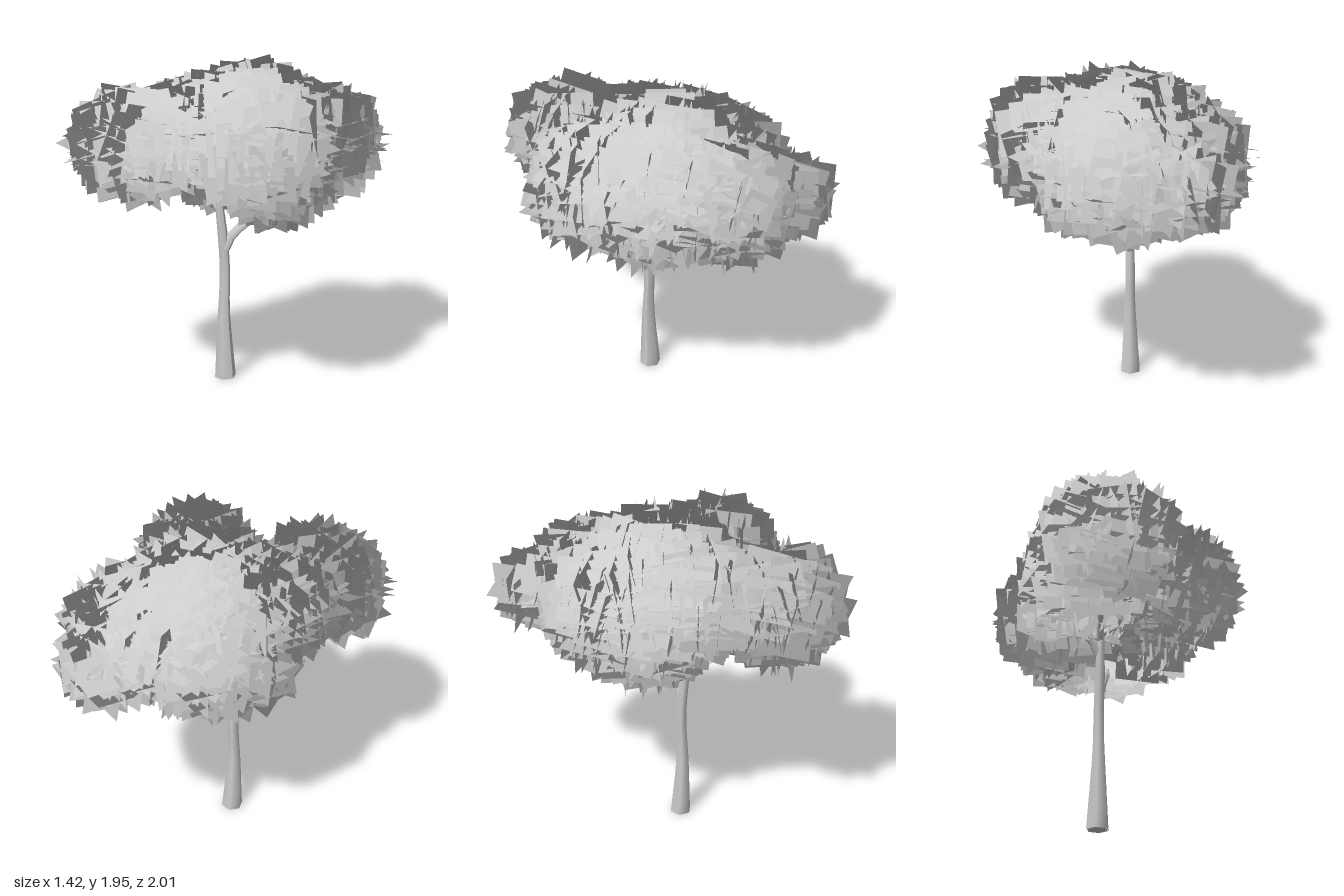
import * as THREE from 'three';
import { mergeGeometries } from 'three/addons/utils/BufferGeometryUtils.js';

const V = (x, y, z) => new THREE.Vector3(x, y, z);
const bark = new THREE.MeshStandardMaterial({ color: 0xcccccc });
const leaf = new THREE.MeshStandardMaterial({ color: 0xcccccc, side: THREE.DoubleSide });

// Small seeded generator for the leaf card jitter
let seed = 7;
function rand() {
  seed = (seed * 16807) % 2147483647;
  return seed / 2147483647;
}
const spread = (a) => (rand() * 2 - 1) * a;

// Tube along a curve whose radius follows a list of evenly spaced values
function limb(name, points, radii, segments = 8, sides = 6) {
  const curve = new THREE.CatmullRomCurve3(points);
  const geo = new THREE.TubeGeometry(curve, segments, 1, sides);
  const pos = geo.attributes.position;
  const p = V(0, 0, 0);
  for (let i = 0; i <= segments; i++) {
    const t = i / segments;
    const centre = curve.getPointAt(t);
    const f = t * (radii.length - 1);
    const k = Math.min(Math.floor(f), radii.length - 2);
    const r = THREE.MathUtils.lerp(radii[k], radii[k + 1], f - k);
    for (let j = 0; j <= sides; j++) {
      const n = i * (sides + 1) + j;
      p.fromBufferAttribute(pos, n).sub(centre).multiplyScalar(r).add(centre);
      pos.setXYZ(n, p.x, p.y, p.z);
    }
  }
  geo.computeVertexNormals();
  const mesh = new THREE.Mesh(geo, bark);
  mesh.name = name;
  return mesh;
}

// Crown clumps: name, centre, radii
const clumps = [
  ['frontClump', V(-0.28, 1.48, 0.63), V(0.37, 0.29, 0.32)],
  ['frontRightClump', V(-0.28, 1.49, 0.22), V(0.33, 0.3, 0.31)],
  ['leftClump', V(0.33, 1.49, 0.25), V(0.32, 0.34, 0.35)],
  ['topClump', V(-0.06, 1.52, -0.06), V(0.48, 0.35, 0.45)],
  ['backRightClump', V(-0.24, 1.42, -0.32), V(0.36, 0.32, 0.32)],
  ['backClump', V(0.12, 1.42, -0.42), V(0.38, 0.32, 0.37)],
  ['backTipClump', V(-0.02, 1.41, -0.72), V(0.25, 0.2, 0.24)],
  ['lowerRightClump', V(-0.31, 1.29, -0.08), V(0.31, 0.27, 0.33)],
  ['lowerLeftClump', V(0.2, 1.29, -0.02), V(0.3, 0.28, 0.34)],
];
const crownCentre = V(-0.03, 1.2, -0.05);
const inset = 0.1; // sprig centres sit this far inside a clump's outline

// Sprig of three crossed square cards, roughly square to the axes,
// with soft normals that fan out from the middle of the crown
function leafSprig(at, outward) {
  const size = 0.22 + 0.06 * rand();
  const jitter = new THREE.Euler(spread(0.3), spread(0.3), spread(0.3));
  const soft = at.clone().sub(crownCentre).normalize().addScaledVector(outward, 0.4).normalize();
  return ['x', 'y', 'z'].map((axis) => {
    const card = new THREE.PlaneGeometry(size, size);
    if (axis === 'x') card.rotateY(Math.PI / 2 * Math.sign(outward.x || 1));
    if (axis === 'y') card.rotateX(-Math.PI / 2 * Math.sign(outward.y || 1));
    if (axis === 'z' && outward.z < 0) card.rotateY(Math.PI);
    card.applyQuaternion(new THREE.Quaternion().setFromEuler(jitter));
    card.translate(at.x, at.y, at.z);
    const nor = card.attributes.normal;
    for (let k = 0; k < nor.count; k++) nor.setXYZ(k, soft.x, soft.y, soft.z);
    return card;
  });
}

// Sprigs spread evenly over an ellipsoid, leaving out those buried in a neighbour
function leafClump([name, centre, radii]) {
  const cards = [];
  const core = radii.clone().subScalar(inset);
  const count = Math.round(170 * (core.x + core.y + core.z) ** 2);
  for (let i = 0; i < count; i++) {
    const y = 1 - (2 * (i + 0.5)) / count;
    const a = i * 2.39996;
    const s = Math.sqrt(1 - y * y);
    const dir = V(s * Math.cos(a), y, s * Math.sin(a));
    const at = dir.clone().multiply(core).multiplyScalar(1 + spread(0.06)).add(centre);
    const buried = clumps.some(([other, c, r]) => other !== name
      && at.clone().sub(c).divide(r.clone().subScalar(inset)).length() < 0.8);
    if (!buried) cards.push(...leafSprig(at, dir));
  }
  const mesh = new THREE.Mesh(mergeGeometries(cards), leaf);
  mesh.name = name;
  return mesh;
}

export function createModel() {
  seed = 7;
  const tree = new THREE.Group();
  tree.name = 'tree';

  // Trunk with a flared foot, closed underneath
  tree.add(limb('trunk',
    [V(-0.127, 0, 0.09), V(-0.127, 0.4, 0.1), V(-0.124, 0.67, 0.092), V(-0.125, 0.9, 0.108), V(-0.13, 1.12, 0.13), V(-0.12, 1.4, 0.12)],
    [0.065, 0.049, 0.034, 0.031, 0.03, 0.02, 0.012], 14));
  const foot = new THREE.Mesh(new THREE.CircleGeometry(0.06, 6), bark);
  foot.name = 'trunkFoot';
  foot.rotation.x = Math.PI / 2;
  foot.position.set(-0.127, 0.001, 0.09);
  tree.add(foot);

  // Branches reaching into the clumps
  const branches = new THREE.Group();
  branches.name = 'branches';
  branches.add(
    limb('backBranch', [V(-0.118, 0.81, 0.095), V(-0.09, 0.9, 0.06), V(-0.035, 0.98, -0.03), V(0.06, 1.22, -0.3)], [0.03, 0.028, 0.022, 0.01]),
    limb('rightBranch', [V(-0.125, 1.0, 0.11), V(-0.18, 1.1, 0.12), V(-0.27, 1.19, 0.1), V(-0.38, 1.4, 0)], [0.024, 0.022, 0.018, 0.01]),
    limb('frontBranch', [V(-0.13, 1.1, 0.12), V(-0.18, 1.26, 0.25), V(-0.26, 1.42, 0.6)], [0.022, 0.018, 0.01]),
    limb('leftBranch', [V(-0.125, 1.15, 0.12), V(0.05, 1.3, 0.15), V(0.3, 1.45, 0.22)], [0.02, 0.017, 0.01]));
  tree.add(branches);

  // Leafy crown
  const crown = new THREE.Group();
  crown.name = 'crown';
  for (const clump of clumps) crown.add(leafClump(clump));
  tree.add(crown);
  return tree;
}
